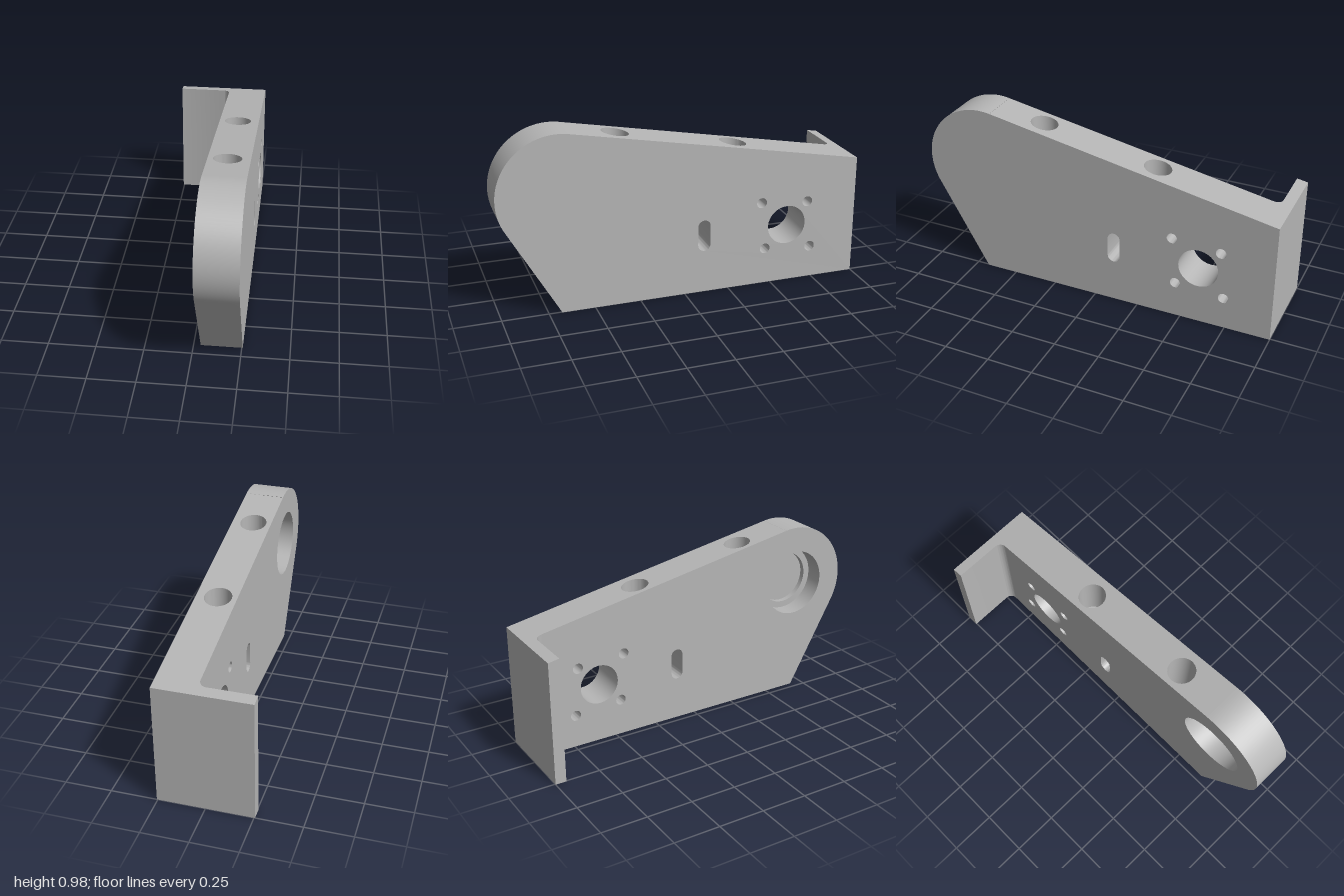
import * as THREE from 'three';
import { toCreasedNormals } from 'three/addons/utils/BufferGeometryUtils.js';

const X0 = 0.037, X1 = 0.255, BACK = -1;           // plate thickness and rear end
const topY = z => 0.675 + 0.185 * (z + 1);         // sloping top edge
const V2 = (x, y) => new THREE.Vector2(x, y);

// points of an arc or full circle, counter-clockwise
function arc(cx, cy, r, a0 = 0, a1 = Math.PI * 2, n = 48) {
  return Array.from({ length: n + 1 }, (_, i) => {
    const a = a0 + (a1 - a0) * i / n;
    return V2(cx + r * Math.cos(a), cy + r * Math.sin(a));
  });
}

// flat outline with holes, placed in space by a mapping rule
function sheet(outline, holes, place, flip) {
  const shape = new THREE.Shape(outline);
  shape.holes = holes.map(h => new THREE.Path(h));
  const geo = new THREE.ShapeGeometry(shape);
  const p = geo.attributes.position;
  for (let i = 0; i < p.count; i++) p.setXYZ(i, ...place(p.getX(i), p.getY(i)));
  if (flip) geo.index.array.reverse();
  geo.computeVertexNormals();
  return geo;
}

// skin through a list of equal-length rings of [x, y, z] points
function loft(rings) {
  const pos = [], idx = [], n = rings[0].length;
  rings.forEach(r => r.forEach(q => pos.push(...q)));
  for (let k = 0; k < rings.length - 1; k++) {
    for (let i = 0; i < n - 1; i++) {
      const a = k * n + i, b = a + n;
      idx.push(a, a + 1, b + 1, a, b + 1, b);
    }
  }
  const geo = new THREE.BufferGeometry();
  geo.setAttribute('position', new THREE.Float32BufferAttribute(pos, 3));
  geo.setIndex(idx);
  return toCreasedNormals(geo, 0.5);
}

export function createModel() {
  const model = new THREE.Group();
  model.name = 'mountingBracket';
  const metal = new THREE.MeshStandardMaterial({ color: 0xb6b6b6, side: THREE.DoubleSide });
  metal.name = 'grey metal';
  const add = (name, geo) => {
    const mesh = new THREE.Mesh(geo, metal);
    mesh.name = name;
    model.add(mesh);
  };
  const atX = x => (z, y) => [x, y, z];
  const ringX = (pts, x) => pts.map(p => [x, p.y, p.x]);

  // side outline in (z, y): rounded nose, sloping top, square rear
  const nose = [V2(0.68, 0), ...arc(0.672, 0.652, 0.328, -0.515, 1.754, 40)];
  const rear = [V2(BACK, topY(BACK)), V2(BACK, 0)];
  const outline = [...nose, ...rear];
  const noseTop = nose[nose.length - 1];

  // holes running through the plate
  const through = [
    arc(-0.59, 0.33, 0.11),
    ...[[-0.44, 0.475], [-0.71, 0.453], [-0.465, 0.205], [-0.735, 0.183]]
      .map(([z, y]) => arc(z, y, 0.029, 0, Math.PI * 2, 28)),
  ];
  const slot = [...arc(-0.11, 0.382, 0.035, 0, Math.PI, 16), ...arc(-0.11, 0.276, 0.035, Math.PI, Math.PI * 2, 16)];
  slot.push(slot[0].clone());
  through.push(slot);

  // blind stepped bearing pocket, open on the inner face
  const pocket = r => arc(0.677, 0.65, r, 0, Math.PI * 2, 64);

  add('plateOuterFace', sheet(outline, through, atX(X1), true));
  add('plateInnerFace', sheet(outline, [...through, pocket(0.187)], atX(X0), false));
  add('plateNose', loft([ringX(nose, X1), ringX(nose, X0)]));
  add('plateRear', loft([ringX(rear, X1), ringX(rear, X0)]));
  through.forEach((h, i) => add(['mainBore', 'screwHole', 'screwHole', 'screwHole', 'screwHole', 'slot'][i],
    loft([ringX(h, X0), ringX(h, X1)])));
  add('bearingPocket', loft([[0.187, X0], [0.187, 0.142], [0.15, 0.142], [0.15, 0.172], [0, 0.172]]
    .map(([r, x]) => ringX(pocket(r), x))));

  // top and bottom edges, pierced by vertical stepped bores
  const boreZ = [-0.308, 0.345], boreX = 0.138;
  const circles = r => boreZ.map(z => arc(boreX, z, r));
  const edge = z => [V2(X0, BACK), V2(X1, BACK), V2(X1, z), V2(X0, z)];
  add('plateTop', sheet(edge(noseTop.x), circles(0.073), (x, z) => [x, topY(z), z], true));
  add('plateBottom', sheet(edge(0.68), circles(0.051), (x, z) => [x, 0, z], false));
  for (const z of boreZ) {
    const ring = (r, y) => arc(boreX, z, r).map(p => [p.x, y(p.y), p.y]);
    add('boltBore', loft([
      ring(0.051, () => 0), ring(0.051, () => 0.2), ring(0.035, () => 0.2),
      ring(0.035, () => 0.5), ring(0.073, () => 0.5), ring(0.073, topY),
    ]));
  }

  // rear flange with a filleted inside corner, its top trimmed to the slope
  const plan = new THREE.Shape();
  plan.moveTo(-0.255, 1);
  plan.lineTo(-0.255, 0.94);
  plan.lineTo(X0 - 0.04, 0.94);
  plan.absarc(X0 - 0.04, 0.9, 0.04, Math.PI / 2, 0, true);
  plan.lineTo(X0, 1);
  plan.closePath();
  const flange = new THREE.ExtrudeGeometry(plan, { depth: 0.6, bevelEnabled: false, curveSegments: 12 });
  flange.rotateX(-Math.PI / 2);
  const p = flange.attributes.position;
  for (let i = 0; i < p.count; i++) if (p.getY(i) > 0.3) p.setY(i, topY(p.getZ(i)));
  add('rearFlange', toCreasedNormals(flange, 0.5));

  return model;
}
